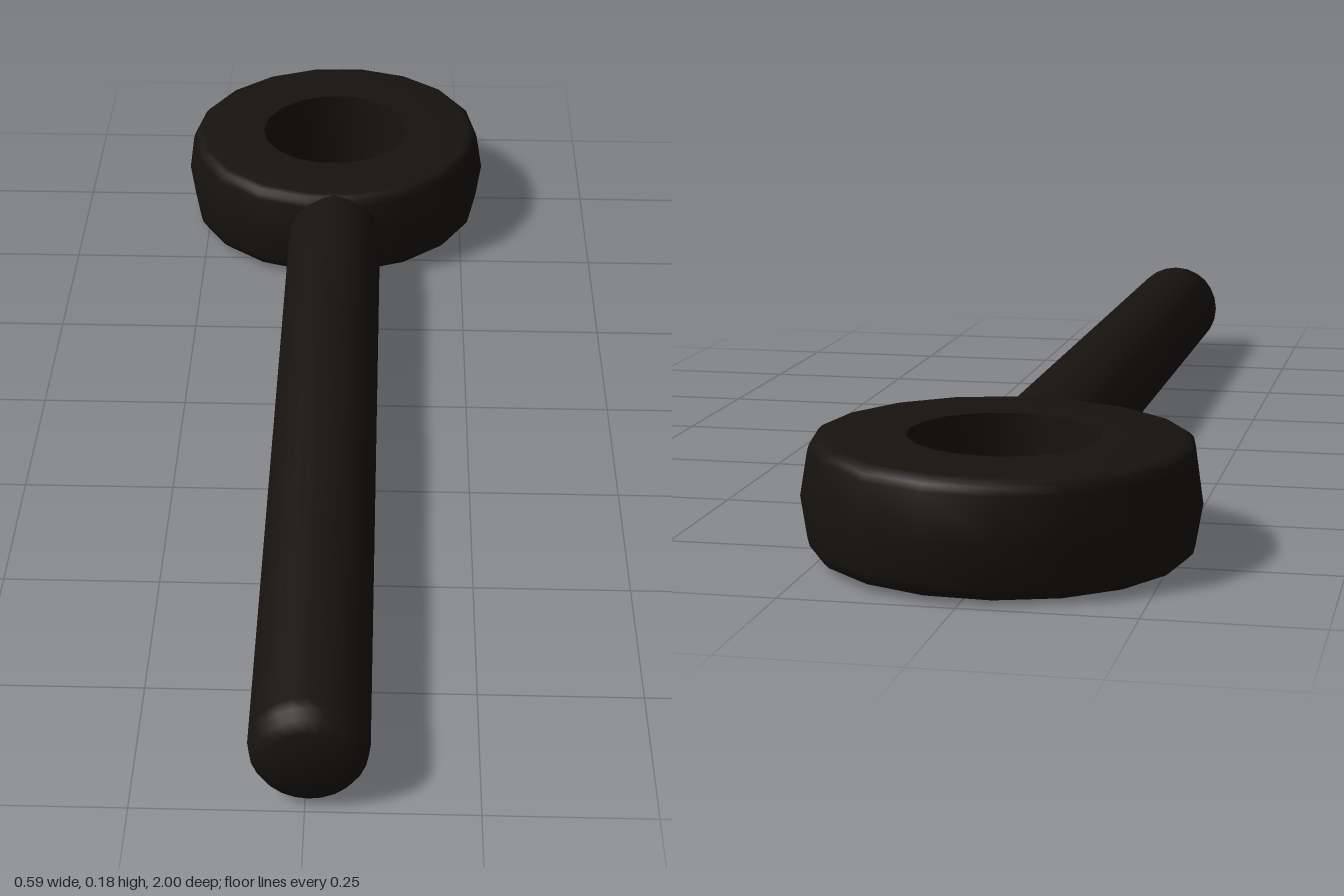
import * as THREE from 'three';
import { toCreasedNormals } from 'three/addons/utils/BufferGeometryUtils.js';

export function createModel() {
  const group = new THREE.Group();
  const material = new THREE.MeshStandardMaterial({ color: 0x16130f });

  // Turned part from [radius, height] pairs
  const turned = (profile, sides, start = 0) => toCreasedNormals(
    new THREE.LatheGeometry(profile.map(([r, y]) => new THREE.Vector2(r, y)), sides, start), 0.75);

  const add = (name, geometry) => {
    const mesh = new THREE.Mesh(geometry, material);
    mesh.name = name;
    group.add(mesh);
    return mesh;
  };

  // Eye ring: slightly bulged outer wall with rounded edges, straight hole
  const rim = [[0.262, -0.085], [0.273, -0.082], [0.28, -0.075], [0.283, -0.064]];
  const upperRim = rim.map(([r, y]) => [r, -y]).reverse();
  const ringProfile = [[0.142, -0.085], ...rim, [0.293, 0], ...upperRim, [0.142, 0.085], [0.142, -0.085]];
  const ring = add('eyeRing', turned(ringProfile, 18, Math.PI / 2));
  ring.position.set(0, 0.0925, -0.711);
  ring.rotation.z = 0.0176;

  // Round shaft with a softly domed tip, its root buried in the ring
  const shaftProfile = [[0, -0.5], [0.087, -0.5], [0.087, 0.955], [0.084, 0.972],
    [0.075, 0.986], [0.058, 0.995], [0, 1]];
  const shaft = add('shaft', turned(shaftProfile, 24).rotateX(Math.PI / 2));
  shaft.position.set(0.005, 0.089, 0);

  return group;
}
